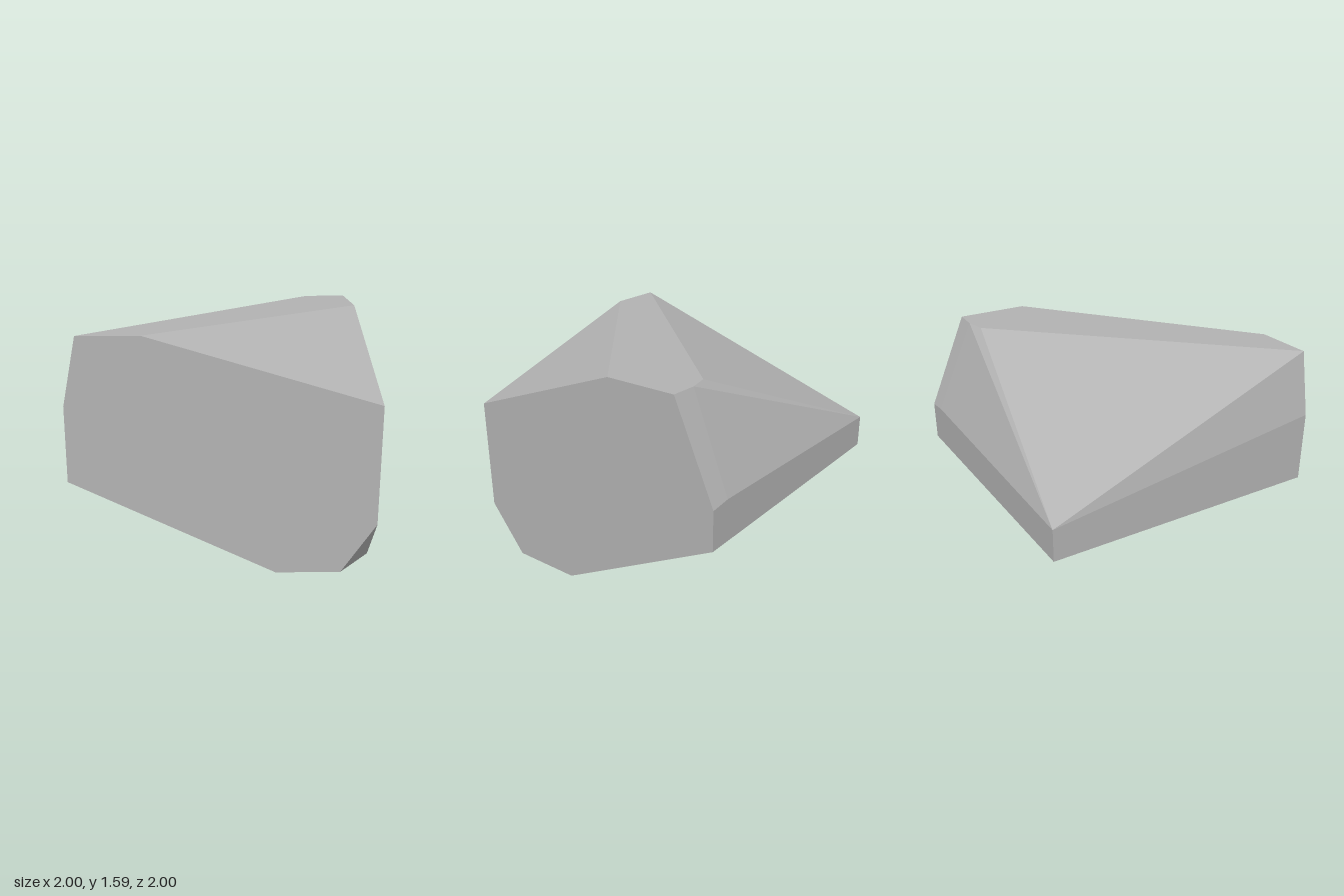
import * as THREE from 'three';
import { ConvexGeometry } from 'three/addons/geometries/ConvexGeometry.js';

export function createModel() {
  const group = new THREE.Group();
  group.name = 'rock';
  const stone = new THREE.MeshStandardMaterial({ color: 0xb2b2b2, flatShading: true });
  stone.name = 'stone grey';

  const TOP = 1.594;
  const corners = [
    // flat top
    [-0.91, TOP, 1], [-0.51, TOP, 1], [1, TOP, -0.2],
    [1, TOP, -0.71], [0.82, TOP, -0.72], [0.68, TOP, -0.69],
    // upper rim of the upright sides
    [1, 1.145, 1], [1, 0.93, -1], [0.85, 0.945, -1], [-1, 0.88, -1], [-1, 1.15, 1],
    // lower rim of the upright sides
    [1, 0.34, 1], [1, 0.65, -1], [-1, 0.65, -1], [-1, 0.65, 1],
    // flat base
    [0.34, 0, 1], [0.77, 0, 1], [1, 0, 0.73], [1, 0, 0.22],
  ];

  // chipped boulder: the convex solid spanned by its corners
  const boulder = new THREE.Mesh(
    new ConvexGeometry(corners.map((c) => new THREE.Vector3(...c))), stone);
  boulder.name = 'boulder';
  group.add(boulder);
  return group;
}
